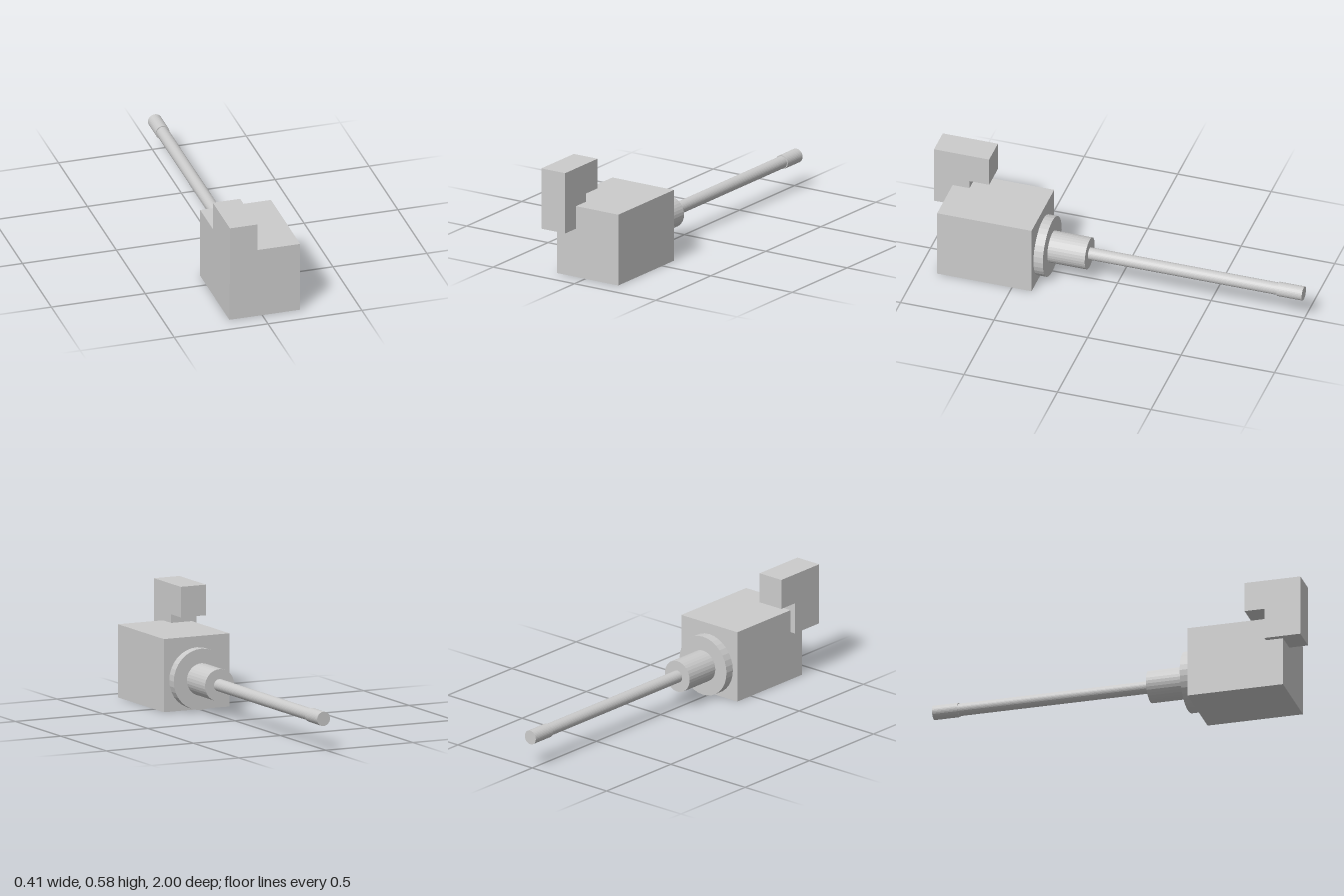
import * as THREE from 'three';

const AXIS_X = 0.013, AXIS_Y = 0.163;

export function createModel() {
  const model = new THREE.Group();
  const material = new THREE.MeshStandardMaterial({ color: 0xcccccc, flatShading: true });

  const add = (name, geometry, x, y, z) => {
    const mesh = new THREE.Mesh(geometry, material);
    mesh.name = name;
    mesh.position.set(x, y, z);
    model.add(mesh);
  };

  // Cylinder along z between two depths, on the shared barrel axis
  const addRound = (name, radius, zBack, zFront) => {
    const geometry = new THREE.CylinderGeometry(radius, radius, zFront - zBack, 32);
    geometry.rotateX(Math.PI / 2);
    add(name, geometry, AXIS_X, AXIS_Y, (zBack + zFront) / 2);
  };

  // Main housing
  add('housing', new THREE.BoxGeometry(0.377, 0.378, 0.505), 0.0135, 0.189, 0.6475);

  // Stepped barrel
  addRound('flange', 0.158, 0.345, 0.395);
  addRound('collar', 0.083, 0.145, 0.345);
  addRound('rod', 0.032, -0.865, 0.145);
  addRound('tip', 0.037, -1, -0.865);

  // L-shaped block on the housing's corner: side profile in (z, y), extruded along x
  const profile = new THREE.Shape([
    [0.81, 0.258], [1, 0.258], [1, 0.58], [0.705, 0.58], [0.705, 0.422], [0.81, 0.422],
  ].map(([z, y]) => new THREE.Vector2(z, y)));
  const block = new THREE.ExtrudeGeometry(profile, { depth: 0.146, bevelEnabled: false });
  block.rotateY(-Math.PI / 2);
  add('cornerBlock', block, -0.057, 0, 0);

  return model;
}
